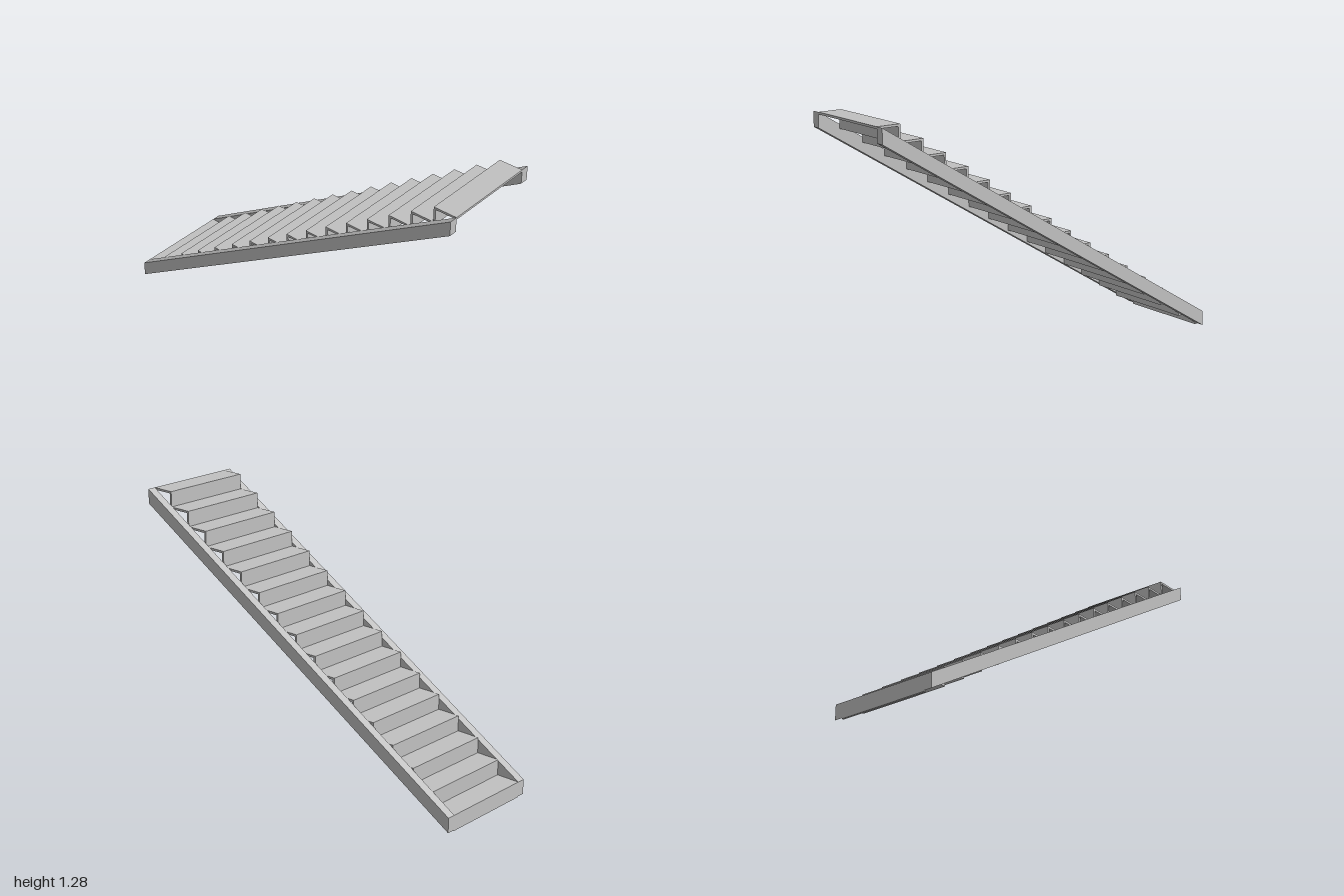
import * as THREE from 'three';

export function createModel() {
  const group = new THREE.Group();
  group.name = 'staircase';
  const grey = new THREE.MeshStandardMaterial({ color: 0xc0c0c0 });
  grey.name = 'light grey';

  const steps = 16, run = 2 / steps, top = 1.285, rise = top / steps;
  const t = 0.011, inner = 0.247, outer = 0.29;

  // Extrudes an x-y outline between two z positions
  function slab(name, points, z0, z1) {
    const shape = new THREE.Shape(points.map(([x, y]) => new THREE.Vector2(x, y)));
    const geo = new THREE.ExtrudeGeometry(shape, { depth: z1 - z0, bevelEnabled: false });
    geo.translate(0, 0, z0);
    const mesh = new THREE.Mesh(geo, grey);
    mesh.name = name;
    group.add(mesh);
  }

  // Folded flight: risers and treads as one zigzag sheet
  const upper = [], lower = [];
  for (let i = 0; i < steps; i++) {
    const x = -1 + i * run, y = i * rise;
    upper.push([x, y], [x, y + rise]);
    lower.push([x + t, i ? y - t : 0], [x + t, y + rise - t]);
  }
  upper.push([1, top]);
  lower.push([1, top - t]);
  slab('treadsAndRisers', [...upper, ...lower.reverse()], -inner, inner);

  // Sloping side stringers with plumb-cut ends
  const side = [[-1, 0.004], [1, top - 0.076], [1, top], [-1, rise]];
  slab('leftStringer', side, inner, outer);
  slab('rightStringer', side, -outer, -inner);

  return group;
}
